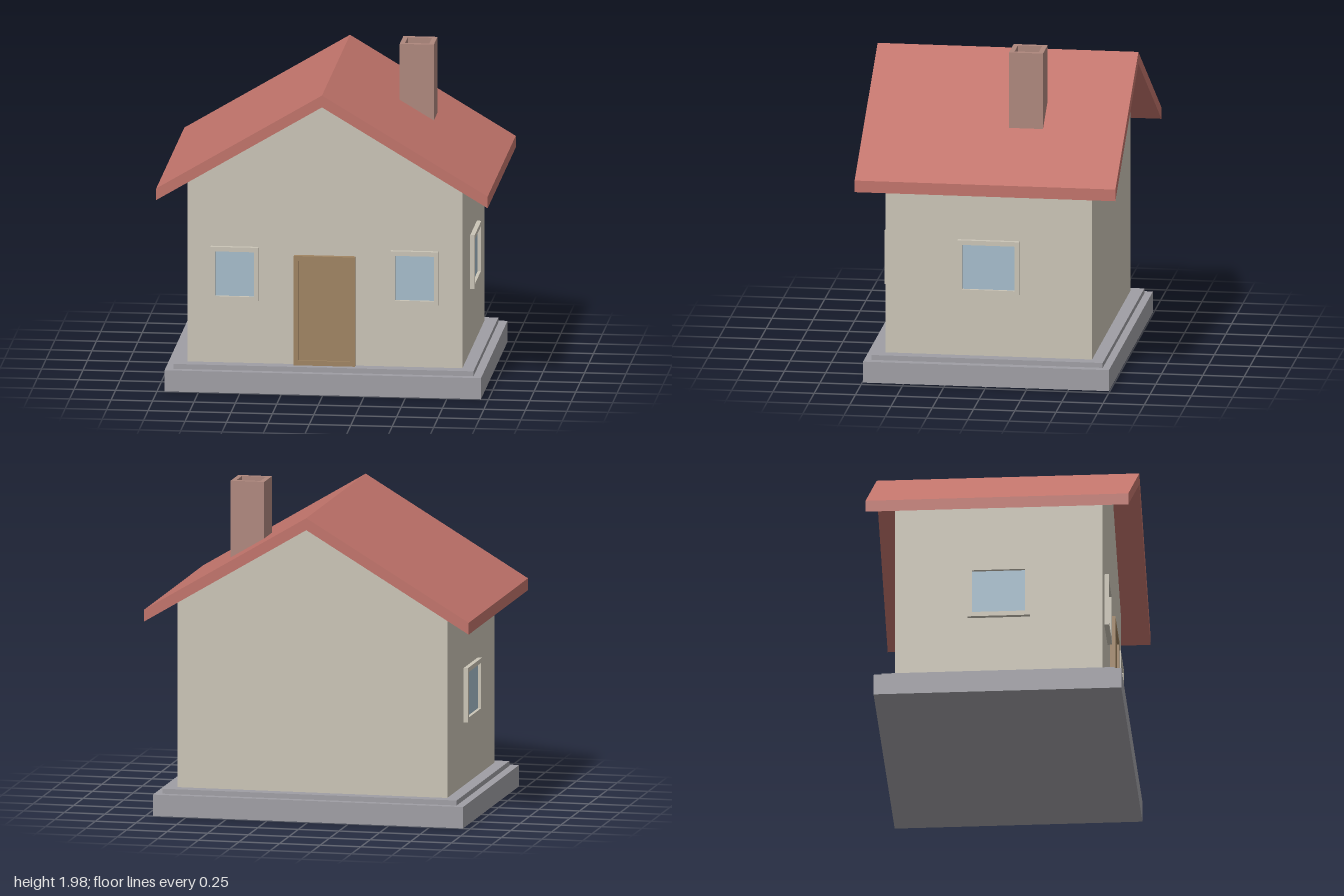
import * as THREE from 'three';

const mat = (name, color) => {
  const m = new THREE.MeshStandardMaterial({ color });
  m.name = name;
  return m;
};

export function createModel() {
  const house = new THREE.Group();
  house.name = 'house';
  const wall = mat('plaster', 0xcac4b6);
  const roof = mat('roofTile', 0xc0736a);
  const stone = mat('stone', 0x9f9ea4);
  const wood = mat('wood', 0xa08462);
  const glass = mat('glass', 0xa5bccb);
  const brick = mat('brick', 0xae877d);

  const add = (parent, name, geometry, material, x = 0, y = 0, z = 0) => {
    const mesh = new THREE.Mesh(geometry, material);
    mesh.name = name;
    mesh.position.set(x, y, z);
    parent.add(mesh);
    return mesh;
  };
  const box = (w, h, d) => new THREE.BoxGeometry(w, h, d);
  const extrude = (shape, depth) =>
    new THREE.ExtrudeGeometry(shape, { depth, bevelEnabled: false });
  const polygon = (pts) => new THREE.Shape(pts.map(([x, y]) => new THREE.Vector2(x, y)));
  const rect = (w, h) =>
    polygon([[-w / 2, -h / 2], [w / 2, -h / 2], [w / 2, h / 2], [-w / 2, h / 2]]);
  // Rectangular ring, extruded along +z
  const ring = (w, h, border, depth) => {
    const shape = rect(w, h);
    shape.holes.push(rect(w - 2 * border, h - 2 * border));
    return extrude(shape, depth);
  };

  // Stepped foundation
  add(house, 'foundation', box(1.91, 0.13, 1.49), stone, 0, 0.065, 0);
  add(house, 'foundationStep', box(1.81, 0.03, 1.4), stone, 0, 0.145, 0);

  // Gabled walls
  const gable = polygon([[-0.83, 0.16], [0.83, 0.16], [0.83, 1.291], [0, 1.787], [-0.83, 1.291]]);
  add(house, 'walls', extrude(gable, 1.25), wall, 0, 0, -0.625);

  // Overhanging pitched roof
  const roofShape = polygon([[-1, 1.19], [0, 1.787], [1, 1.19], [1, 1.262], [0, 1.86], [-1, 1.262]]);
  add(house, 'roof', extrude(roofShape, 1.58), roof, 0, 0, -0.79);

  // Chimney, cut to the roof slope, with a recessed flue
  const chimney = new THREE.Group();
  chimney.name = 'chimney';
  chimney.position.set(0.478, 0, -0.19);
  house.add(chimney);
  const stack = polygon([[-0.103, 1.573], [0.103, 1.51], [0.103, 1.9], [-0.103, 1.9]]);
  add(chimney, 'chimneyStack', extrude(stack, 0.206), brick, 0, 0, -0.103);
  const rim = ring(0.206, 0.206, 0.03, 0.08).rotateX(-Math.PI / 2);
  add(chimney, 'chimneyRim', rim, brick, 0, 1.9, 0);

  // Windows: framed panes standing proud of the wall
  const addWindow = (name, w, x, z, turn) => {
    const g = new THREE.Group();
    g.name = name;
    g.position.set(x, 0.711, z);
    g.rotation.y = turn;
    house.add(g);
    add(g, 'windowFrame', ring(w, 0.332, 0.028, 0.027), wall);
    add(g, 'windowPane', box(w - 0.056, 0.276, 0.008), glass, 0, 0, 0.004);
  };
  for (const [side, s] of [['left', 1], ['right', -1]]) {
    addWindow(side + 'FrontWindow', 0.29, s * 0.543, 0.625, 0);
    addWindow(side + 'SideWindow', 0.376, s * 0.83, 0, s * Math.PI / 2);
  }

  // Door with a recessed panel
  const door = new THREE.Group();
  door.name = 'door';
  door.position.set(0, 0.497, 0.625);
  house.add(door);
  add(door, 'doorFrame', ring(0.37, 0.674, 0.03, 0.033), wood);
  add(door, 'doorPanel', box(0.31, 0.614, 0.02), wood, 0, 0, 0.01);

  return house;
}
